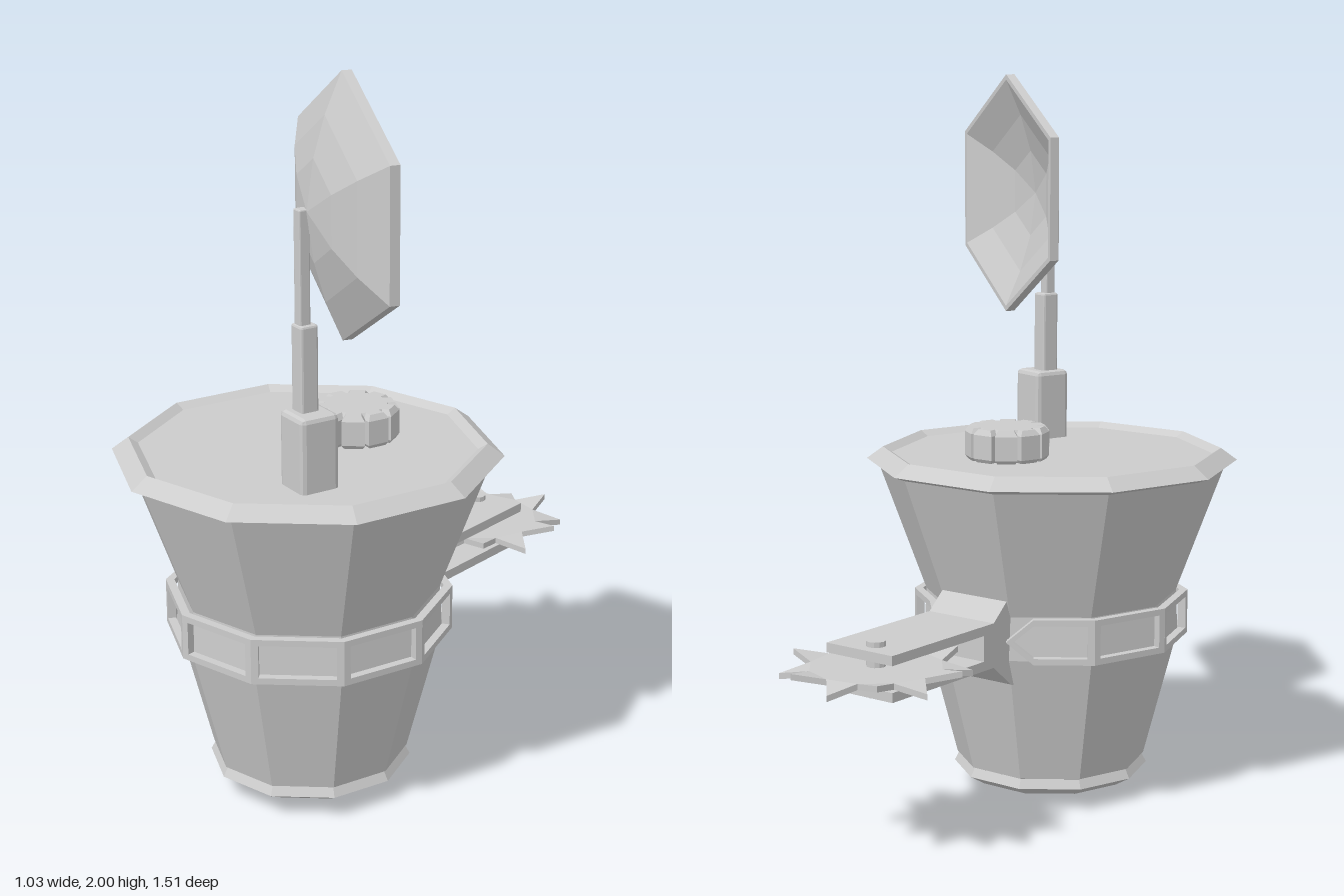
import * as THREE from 'three';
import { RoundedBoxGeometry } from 'three/addons/geometries/RoundedBoxGeometry.js';

const SIDES = 10, STEP = (Math.PI * 2) / SIDES, BODY_Z = 0.26;
const grey = new THREE.MeshStandardMaterial({ color: 0xcccccc, flatShading: true });

function add(parent, name, geometry, x = 0, y = 0, z = 0) {
  const mesh = new THREE.Mesh(geometry, grey);
  mesh.name = name;
  mesh.position.set(x, y, z);
  parent.add(mesh);
  return mesh;
}

const points = (list) => list.map(([x, y]) => new THREE.Vector2(x, y));
const lathe = (profile, sides) => new THREE.LatheGeometry(points(profile), sides);
const extrude = (shape, depth, options = {}) =>
  new THREE.ExtrudeGeometry(shape, { depth, bevelEnabled: false, ...options });

// Outline of one band frame; a pointed one tapers towards the arm mount
function frameOutline(halfWidth, halfHeight, point) {
  const shoulder = point ? 0.045 : halfWidth;
  const list = [[-halfWidth, -halfHeight], [shoulder, -halfHeight]];
  if (point) list.push([halfWidth, 0]);
  list.push([shoulder, halfHeight], [-halfWidth, halfHeight]);
  return list;
}

function frameGeometry(point) {
  const shape = new THREE.Shape(points(frameOutline(0.119, 0.062, point)));
  shape.holes.push(new THREE.Path(points(frameOutline(0.1, 0.045, point)).reverse()));
  return extrude(shape, 0.022);
}

// Saw blade: a toothed disc whose teeth are bent up and down in turn
function sawGeometry() {
  const teeth = 12, tip = 0.248, root = 0.175, thick = 0.016, list = [];
  for (let i = 0; i < teeth; i++) {
    const a = (i / teeth) * Math.PI * 2 + 1.24;
    list.push([root * Math.cos(a - 0.28), root * Math.sin(a - 0.28)]);
    list.push([tip * Math.cos(a), tip * Math.sin(a)]);
  }
  const geometry = extrude(new THREE.Shape(points(list)), thick);
  geometry.translate(0, 0, -thick / 2);
  const p = geometry.attributes.position;
  for (let i = 0; i < p.count; i++) {
    if (Math.hypot(p.getX(i), p.getY(i)) < 0.22) continue;
    const tooth = Math.round((Math.atan2(p.getY(i), p.getX(i)) - 1.24) / (Math.PI * 2) * teeth);
    p.setZ(i, p.getZ(i) + (tooth % 2 === 0 ? 0.016 : -0.016));
  }
  geometry.rotateX(-Math.PI / 2);
  geometry.computeVertexNormals();
  return geometry;
}

// Knob with ten square teeth
function knobGeometry() {
  const list = [];
  for (let i = 0; i < 10; i++) {
    const a = i * STEP + Math.PI / 2;
    for (const [r, d] of [[0.083, -0.24], [0.104, -0.2], [0.104, 0.2], [0.083, 0.24]]) {
      list.push([r * Math.cos(a + d), r * Math.sin(a + d)]);
    }
  }
  const geometry = extrude(new THREE.Shape(points(list)), 0.066, {
    bevelEnabled: true, bevelThickness: 0.015, bevelSize: 0.01, bevelSegments: 1,
  });
  return geometry.rotateX(-Math.PI / 2);
}

export function createModel() {
  const model = new THREE.Group();
  model.name = 'bucketRobot';

  // Ten-sided tapered body with foot rim, waist, top rim and sunken lid
  const body = add(model, 'body', lathe([
    [0, 0.038], [0.227, 0.038], [0.273, 0.065], [0.26, 0.09], [0.265, 0.092],
    [0.358, 0.45], [0.352, 0.57], [0.485, 0.93], [0.517, 0.942], [0.472, 0.975],
    [0.447, 0.96], [0, 0.96],
  ], SIDES), 0, 0, BODY_Z);
  body.rotation.y = STEP / 2;

  // Small domed foot
  add(model, 'foot', lathe([[0, 0], [0.035, 0.004], [0.058, 0.02], [0.07, 0.04]], 8), 0, 0, BODY_Z);

  // Band of open frames on every side but the back
  const band = new THREE.Group();
  band.name = 'band';
  band.position.set(0, 0.508, BODY_Z);
  model.add(band);
  const apothem = 0.385 * Math.cos(STEP / 2);
  for (let i = 0; i < SIDES; i++) {
    if (i === 5) continue;
    const geometry = frameGeometry(i === 4 || i === 6);
    if (i === 6) geometry.rotateZ(Math.PI);
    geometry.translate(0, 0, apothem - 0.022);
    add(band, 'bandFrame', geometry).rotation.y = i * STEP;
  }

  // Forked arm with flared mount, reaching out of the back
  const fork = extrude(new THREE.Shape(points([
    [0.04, 0.37], [0.075, 0.385], [0.147, 0.446], [0.565, 0.446], [0.565, 0.472], [0.19, 0.472],
    [0.19, 0.542], [0.565, 0.542], [0.565, 0.568], [0.147, 0.568], [0.075, 0.63], [0.04, 0.645],
  ])), 0.22);
  fork.translate(0, 0, -0.11).rotateY(Math.PI / 2);
  add(model, 'arm', fork);
  add(model, 'sawBlade', sawGeometry(), -0.01, 0.507, -0.51);
  add(model, 'sawPin', new THREE.CylinderGeometry(0.026, 0.026, 0.148, 12), -0.01, 0.508, -0.51);

  // Knob on the lid
  add(model, 'lidKnob', knobGeometry(), 0.047, 0.97, 0.117);

  // Telescoping mast
  const mast = [
    ['mastBase', 0.11, 0.94, 1.157, 0.188, 0.47],
    ['mastMiddle', 0.05, 1.14, 1.38, 0.174, 0.468],
    ['mastTop', 0.03, 1.36, 1.67, 0.171, 0.472],
  ];
  for (const [name, w, low, high, x, z] of mast) {
    const box = new RoundedBoxGeometry(w, high - low, w, 1, w * 0.12);
    add(model, name, box, x, (low + high) / 2, z).rotation.y = -0.31;
  }

  // Hexagonal dish, opening backwards and to the left
  const dish = lathe([
    [0, -0.118], [0.13, -0.1], [0.232, -0.07], [0.335, -0.026], [0.335, 0], [0.32, 0],
    [0.222, -0.045], [0.12, -0.077], [0, -0.093],
  ], 6);
  dish.rotateX(-Math.PI / 2).rotateY(-0.49);
  add(model, 'dish', dish, 0.245, 1.665, 0.37);

  return model;
}
